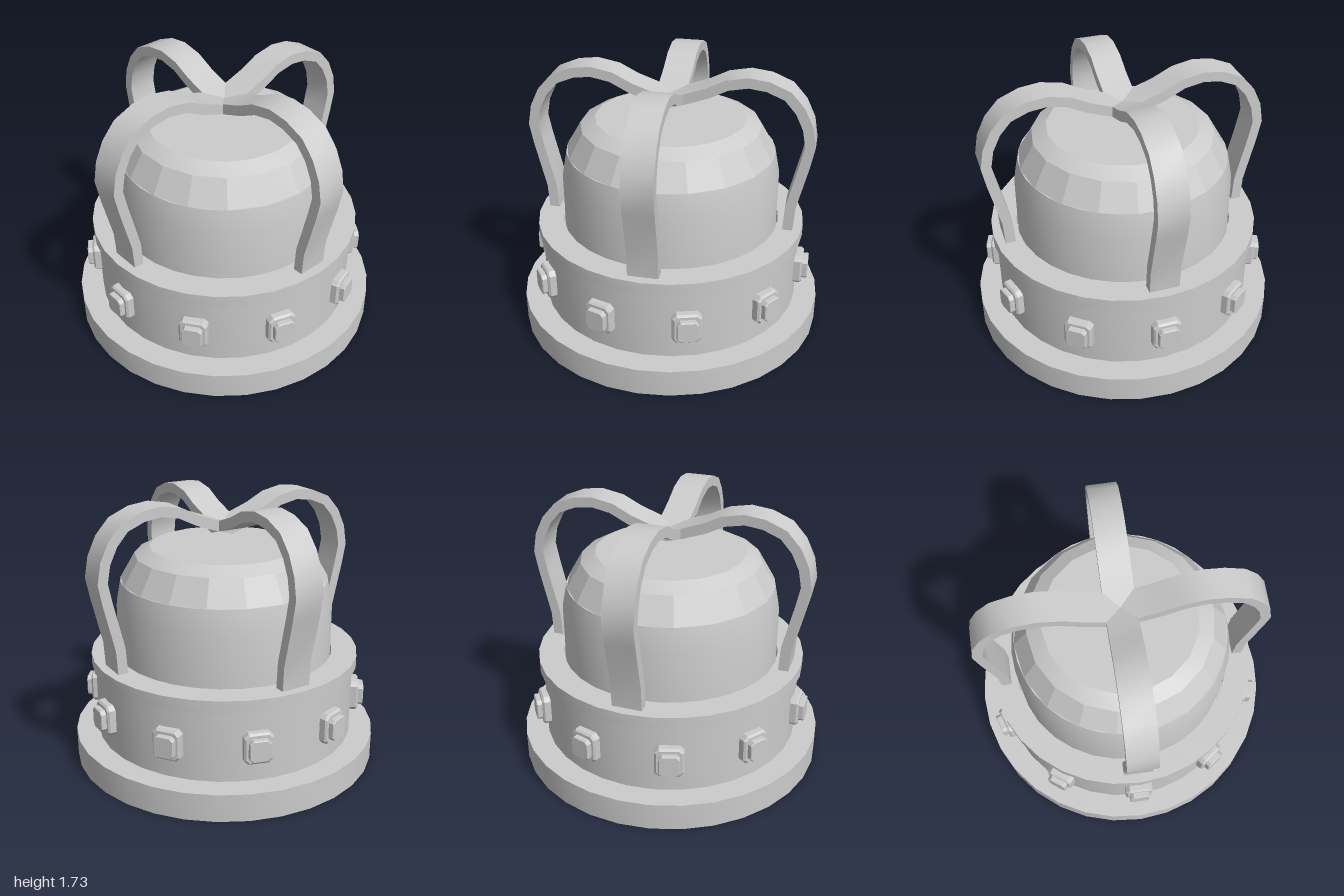
import * as THREE from 'three';
import { toCreasedNormals } from 'three/addons/utils/BufferGeometryUtils.js';

const material = new THREE.MeshStandardMaterial({ color: 0xcccccc });

function part(name, geometry, crease = 0.3) {
  const mesh = new THREE.Mesh(toCreasedNormals(geometry, crease), material);
  mesh.name = name;
  return mesh;
}

// Profile points run counter-clockwise: up the outside, down the inside
function turned(name, profile, segments) {
  const points = profile.map(([r, y]) => new THREE.Vector2(r, y));
  return part(name, new THREE.LatheGeometry(points, segments, Math.PI / 2));
}

function ring(name, inner, outer, y0, y1) {
  return turned(name, [[inner, y0], [outer, y0], [outer, y1], [inner, y1], [inner, y0]], 32);
}

// Ribbon of constant thickness following a centre line, bent over the cap
function archGeometry(width, thickness) {
  const half = [
    [0.78, 0.7], [0.79, 0.88], [0.86, 1.18], [0.885, 1.31], [0.863, 1.43], [0.81, 1.54],
    [0.73, 1.63], [0.61, 1.68], [0.49, 1.695], [0.36, 1.67], [0.24, 1.61], [0.1, 1.56],
  ];
  const mirrored = half.map(([x, y]) => [-x, y]).reverse();
  const line = [...half, [0, 1.53], ...mirrored].map(([x, y]) => new THREE.Vector2(x, y));
  const outer = [], inner = [];
  line.forEach((p, i) => {
    const before = line[Math.max(i - 1, 0)];
    const after = line[Math.min(i + 1, line.length - 1)];
    const t = after.clone().sub(before).normalize();
    const normal = new THREE.Vector2(t.y, -t.x).multiplyScalar(thickness / 2);
    outer.push(p.clone().add(normal));
    inner.push(p.clone().sub(normal));
  });
  const shape = new THREE.Shape([...outer, ...inner.reverse()]);
  return new THREE.ExtrudeGeometry(shape, { depth: width, bevelEnabled: false })
    .translate(0, 0, -width / 2);
}

// Block with cut corners and a narrow front bevel, its back at z = 0
function cutBlock(w, h, depth, corner, bevel) {
  const a = w / 2 - bevel, b = h / 2 - bevel, c = corner;
  const shape = new THREE.Shape([
    [a, -b + c], [a, b - c], [a - c, b], [-a + c, b],
    [-a, b - c], [-a, -b + c], [-a + c, -b], [a - c, -b],
  ].map(([x, y]) => new THREE.Vector2(x, y)));
  return new THREE.ExtrudeGeometry(shape, {
    depth: depth - 2 * bevel, bevelEnabled: true,
    bevelSize: bevel, bevelThickness: bevel, bevelSegments: 1,
  }).translate(0, 0, bevel);
}

export function createModel() {
  const crown = new THREE.Group();
  crown.name = 'crown';

  // Stepped circlet
  crown.add(ring('baseRing', 0.585, 1, 0, 0.18));
  crown.add(ring('band', 0.585, 0.85, 0.18, 0.64));
  crown.add(ring('topRim', 0.71, 0.875, 0.64, 0.72));

  // Cap: smooth wall below, faceted crown above
  crown.add(turned('capWall',
    [[0, 0.5], [0.7, 0.5], [0.7, 1.04], [0.668, 1.2], [0, 1.2]], 36));
  crown.add(turned('capTop',
    [[0, 1.19], [0.668, 1.2], [0.575, 1.36], [0.48, 1.41], [0, 1.41]], 18));

  // Two crossing arches
  for (let i = 0; i < 2; i++) {
    const arch = part('arch', archGeometry(0.19, 0.065), 0.6);
    arch.rotation.y = i * Math.PI / 2;
    crown.add(arch);
  }

  // Ten set stones around the band
  for (let i = 0; i < 10; i++) {
    const jewel = new THREE.Group();
    jewel.name = 'jewel';
    const setting = part('setting', cutBlock(0.18, 0.2, 0.085, 0.02, 0.012));
    const stone = part('stone', cutBlock(0.13, 0.14, 0.06, 0.018, 0.005));
    setting.position.z = 0.81;
    stone.position.z = 0.87;
    jewel.add(setting, stone);
    jewel.position.y = 0.41;
    jewel.rotation.y = i * Math.PI / 5;
    crown.add(jewel);
  }

  return crown;
}
